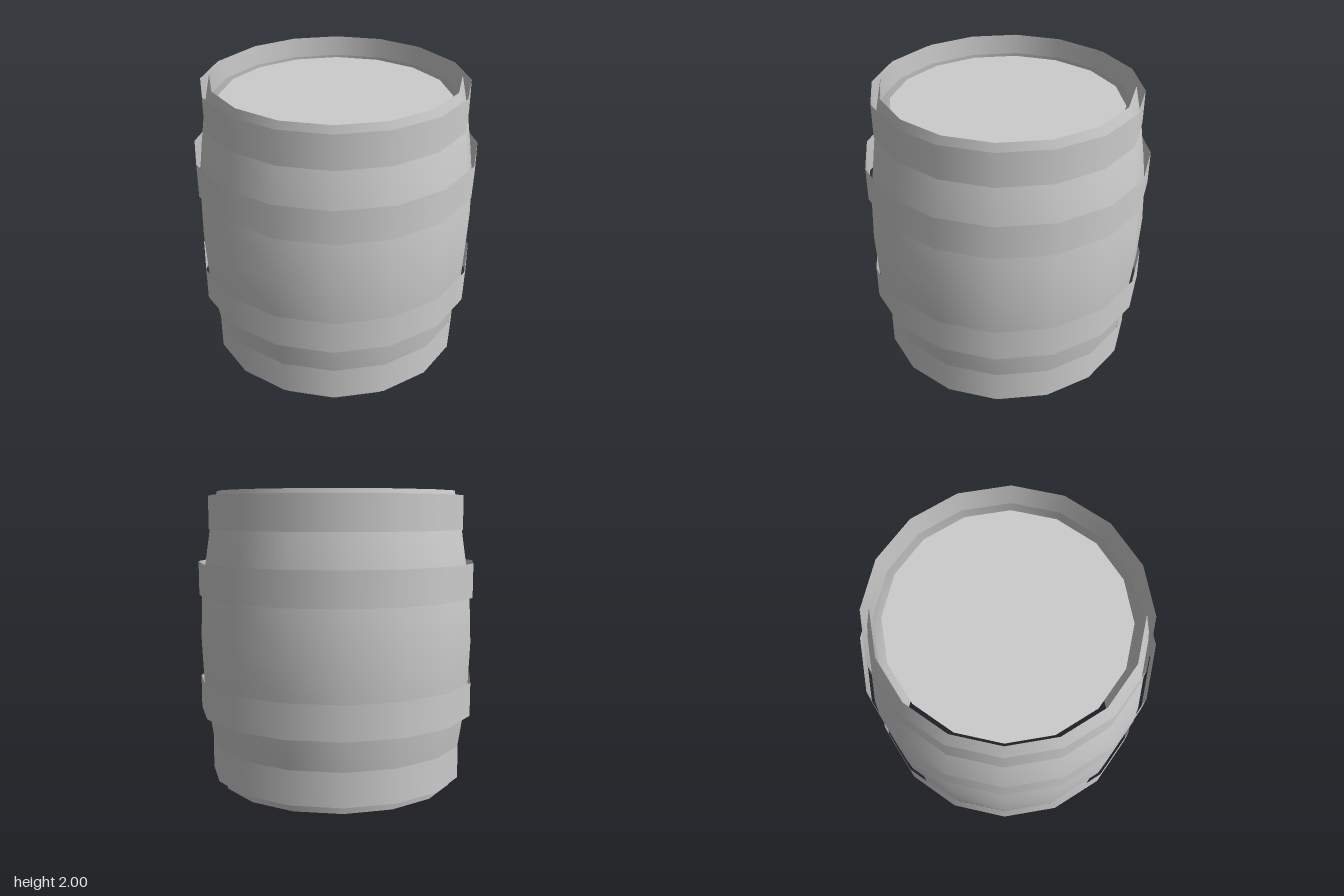
import * as THREE from 'three';

const SIDES = 16;

export function createModel() {
  const model = new THREE.Group();
  model.name = 'barrel';
  const grey = new THREE.MeshStandardMaterial({ color: 0xcccccc, side: THREE.DoubleSide });
  grey.name = 'light grey';

  // Open surface of revolution from [radius, height] pairs, bottom to top
  const addRing = (name, points) => {
    const profile = points.map(([r, y]) => new THREE.Vector2(r, y));
    const mesh = new THREE.Mesh(new THREE.LatheGeometry(profile, SIDES), grey);
    mesh.name = name;
    model.add(mesh);
  };

  // Bulging wall, open at the bottom
  const upperHalf = [[0.945, 1], [0.932, 1.3], [0.902, 1.53], [0.87, 1.745], [0.817, 2]];
  const lowerHalf = upperHalf.slice(1).reverse().map(([r, y]) => [r, 2 - y]);
  addRing('wall', [...lowerHalf, ...upperHalf]);

  // Straight lip inside the top rim
  addRing('innerLip', [[0.817, 1.86], [0.817, 2]]);

  // Four thin hoops
  const hoops = [
    ['bottomHoop', 0.877, 0.06, 0.287],
    ['lowerHoop', 0.952, 0.5, 0.727],
    ['upperHoop', 0.952, 1.3, 1.527],
    ['topHoop', 0.877, 1.745, 1.97],
  ];
  for (const [name, r, y0, y1] of hoops) addRing(name, [[r, y0], [r, y1]]);

  // Sunken lid, leaving a narrow gap to the wall
  const lid = new THREE.Mesh(new THREE.CircleGeometry(0.765, SIDES), grey);
  lid.name = 'lid';
  lid.rotation.x = -Math.PI / 2;
  lid.position.y = 1.86;
  model.add(lid);

  return model;
}
